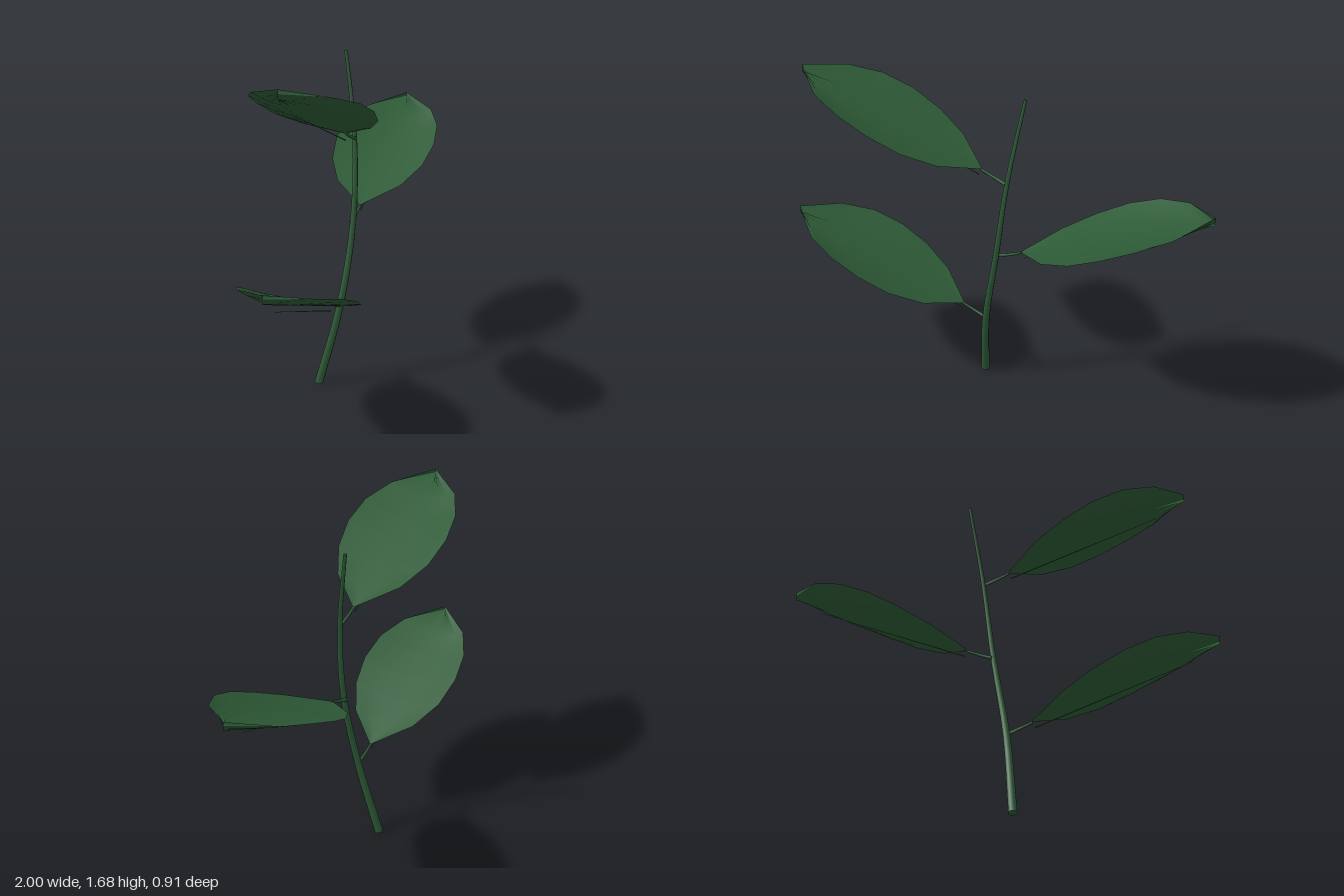
import * as THREE from 'three';

const green = new THREE.MeshStandardMaterial({ color: 0x2d5a36, side: THREE.DoubleSide });
green.name = 'leaf green';

const v = (x, y, z) => new THREE.Vector3(x, y, z);

// Tube along a curve whose radius shrinks from r0 to r1, closed with end discs
function taperedTube(name, points, r0, r1, segments, sides) {
  const curve = new THREE.CatmullRomCurve3(points);
  const geo = new THREE.TubeGeometry(curve, segments, 1, sides);
  const pos = geo.attributes.position, nor = geo.attributes.normal;
  for (let i = 0; i < pos.count; i++) {
    const t = Math.floor(i / (sides + 1)) / segments;
    const c = curve.getPointAt(t);
    const n = v(0, 0, 0).fromBufferAttribute(nor, i);
    c.addScaledVector(n, THREE.MathUtils.lerp(r0, r1, t));
    pos.setXYZ(i, c.x, c.y, c.z);
  }
  const group = new THREE.Group();
  group.name = name;
  group.add(new THREE.Mesh(geo, green));
  [[0, r0, -1], [1, r1, 1]].forEach(([t, r, dir]) => {
    const cap = new THREE.Mesh(new THREE.CircleGeometry(r, sides), green);
    const p = curve.getPointAt(t);
    cap.position.copy(p);
    cap.lookAt(p.clone().addScaledVector(curve.getTangentAt(t), dir));
    group.add(cap);
  });
  group.children.forEach((m) => { m.name = name; });
  return group;
}

// Leaf axis, measured from the node on the stem
const BASE = v(-0.12, 0.05, 0.03);
const TIP = v(-0.96, 0.395, 0.32);
const ACROSS = v(0.326, 0, 0.945);
const HALF_WIDTH = [0.008, 0.165, 0.24, 0.264, 0.245, 0.174, 0];
const EDGE_LIFT = [0.005, 0.015, 0.03, 0.048, 0.056, 0.048, 0.042];

// Cupped blade: edges rise above the midline, the tip pinches into a fold
function bladeGeometry() {
  const rows = HALF_WIDTH.length - 1, cols = 8;
  const positions = [], index = [];
  for (let i = 0; i <= rows; i++) {
    for (let j = 0; j <= cols; j++) {
      const u = (j / cols) * 2 - 1;
      const p = BASE.clone().lerp(TIP, i / rows).addScaledVector(ACROSS, u * HALF_WIDTH[i]);
      positions.push(p.x, p.y + EDGE_LIFT[i] * u * u, p.z);
      if (i < rows && j < cols) {
        const a = i * (cols + 1) + j, b = a + cols + 1;
        index.push(a, a + 1, b, a + 1, b + 1, b);
      }
    }
  }
  // Wind the faces so that the upper side is the front
  for (let k = 0; k < index.length; k += 3) {
    const [a, b, c] = [0, 1, 2].map((m) => v(0, 0, 0).fromArray(positions, index[k + m] * 3));
    if (b.sub(a).cross(c.sub(a)).y < 0) [index[k + 1], index[k + 2]] = [index[k + 2], index[k + 1]];
  }
  const geo = new THREE.BufferGeometry();
  geo.setAttribute('position', new THREE.Float32BufferAttribute(positions, 3));
  geo.setIndex(index);
  geo.computeVertexNormals();
  return geo;
}

// Leaf with its stalk and the thin rib hanging just below the blade
function leaf(name, blade, node, turn) {
  const group = new THREE.Group();
  group.name = name;
  const mesh = new THREE.Mesh(blade, green);
  mesh.name = 'blade';
  const drop = v(0, -0.032, 0);
  const ribStart = BASE.clone().lerp(TIP, 0.01).add(drop);
  const ribEnd = BASE.clone().lerp(TIP, 0.85).add(drop);
  group.add(
    mesh,
    taperedTube('stalk', [v(0, 0, 0), v(-0.06, 0.023, 0.013), BASE.clone()], 0.009, 0.006, 4, 6),
    taperedTube('midrib', [ribStart, ribEnd], 0.003, 0.001, 2, 5),
  );
  group.position.copy(node);
  group.rotation.y = turn;
  return group;
}

export function createModel() {
  const model = new THREE.Group();
  model.name = 'leafy twig';
  // Curved stem
  model.add(taperedTube('stem', [
    v(-0.112, 0.006, -0.085), v(-0.04, 0.42, -0.005), v(0.04, 0.84, 0.015),
    v(0.085, 1.25, -0.01), v(0.122, 1.648, -0.088),
  ], 0.022, 0.008, 16, 8));
  // Alternating leaves
  const blade = bladeGeometry();
  model.add(
    leaf('lowerLeaf', blade, v(-0.04, 0.42, 0), 0),
    leaf('middleLeaf', blade, v(0.04, 0.83, 0), Math.PI),
    leaf('upperLeaf', blade, v(0.08, 1.24, 0), 0),
  );
  return model;
}
